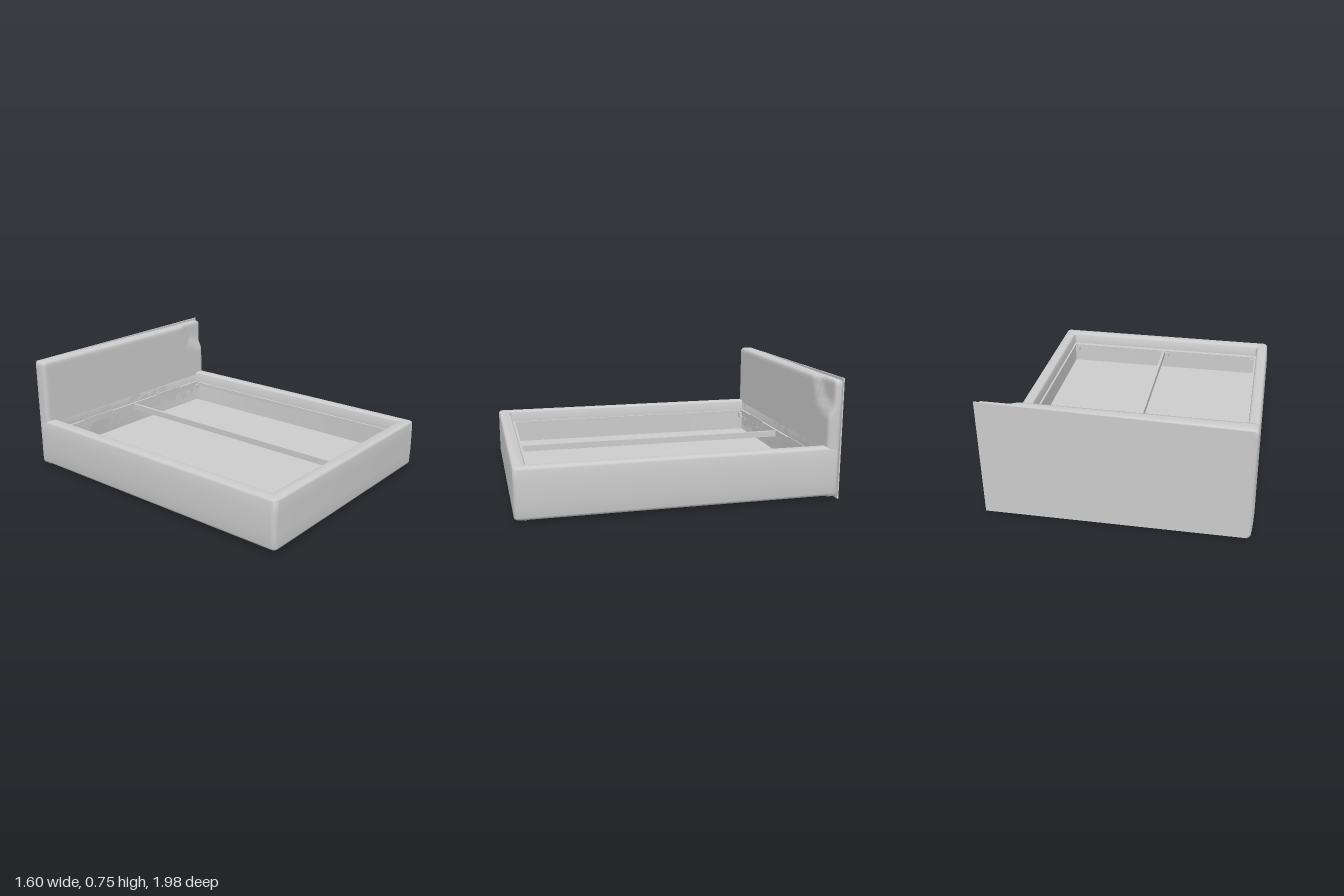
import * as THREE from 'three';
import { mergeVertices, toCreasedNormals } from 'three/addons/utils/BufferGeometryUtils.js';

const material = new THREE.MeshStandardMaterial({ color: 0xcccccc });

function part(group, name, geometry) {
  const mesh = new THREE.Mesh(geometry, material);
  mesh.name = name;
  group.add(mesh);
  return mesh;
}

// box given by its lower and upper corners
function box(group, name, [x0, y0, z0], [x1, y1, z1]) {
  const mesh = part(group, name, new THREE.BoxGeometry(x1 - x0, y1 - y0, z1 - z0));
  mesh.position.set((x0 + x1) / 2, (y0 + y1) / 2, (z0 + z1) / 2);
  return mesh;
}

// rounded rectangle in plan (x, -z)
function roundedRect(path, x, back, front, r) {
  const top = -back, bottom = -front;
  path.moveTo(-x + r, bottom);
  path.lineTo(x - r, bottom);
  path.absarc(x - r, bottom + r, r, -Math.PI / 2, 0);
  path.lineTo(x, top - r);
  path.absarc(x - r, top - r, r, 0, Math.PI / 2);
  path.lineTo(-x + r, top);
  path.absarc(-x + r, top - r, r, Math.PI / 2, Math.PI);
  path.lineTo(-x, bottom + r);
  path.absarc(-x + r, bottom + r, r, Math.PI, Math.PI * 1.5);
  return path;
}

// padded rails: one bevelled ring with softly bowed outer sides
function frameGeometry() {
  const shape = roundedRect(new THREE.Shape(), 0.79, -0.975, 0.99, 0.03);
  shape.holes.push(roundedRect(new THREE.Path(), 0.715, -0.895, 0.91, 0.012));
  const b = 0.018;
  const g = new THREE.ExtrudeGeometry(shape, {
    depth: 0.31 - 2 * b, steps: 4, curveSegments: 4,
    bevelSize: b, bevelThickness: b, bevelOffset: -b, bevelSegments: 4,
  });
  g.rotateX(-Math.PI / 2).translate(0, 0.018 + b, 0);
  const p = g.attributes.position;
  for (let i = 0; i < p.count; i++) {
    const x = p.getX(i), bow = Math.sin(Math.PI * (p.getY(i) - 0.018) / 0.31);
    if (Math.abs(x) > 0.74) p.setX(i, x + Math.sign(x) * 0.008 * bow);
  }
  g.deleteAttribute('uv');
  g.deleteAttribute('normal');
  return toCreasedNormals(mergeVertices(g, 1e-4), 0.7);
}

// padded headboard: rounded block, tapering in depth, creased at one top corner
function headboardGeometry() {
  const half = new THREE.Vector3(0.79, 0.364, 0.0475), r = 0.025;
  const g = new THREE.BoxGeometry(2, 2, 2, 48, 28, 8);
  const p = g.attributes.position, v = new THREE.Vector3(), core = new THREE.Vector3();
  const limit = half.clone().subScalar(r);
  for (let i = 0; i < p.count; i++) {
    v.fromBufferAttribute(p, i);
    v.set(...v.toArray().map((t) => Math.sin(t * Math.PI / 2))).multiply(half);
    core.copy(v).clamp(limit.clone().negate(), limit);
    v.sub(core).setLength(r).add(core);
    v.y += 0.374;
    const front = (v.z + half.z) / (2 * half.z);
    const dent = Math.min(v.x - 0.55 - (0.74 - v.y) * 0.44, v.y - 0.52 - (0.79 - v.x) * 0.35);
    v.z -= front * Math.min(0.03, Math.max(0, dent) * 0.6);
    v.z += (1 - front) * 0.008 * (v.x + 0.79);
    p.setXYZ(i, v.x, v.y, v.z - 0.9425);
  }
  g.deleteAttribute('uv');
  g.deleteAttribute('normal');
  return toCreasedNormals(mergeVertices(g, 1e-4), 0.8);
}

// thin flat sheet on the back of the headboard
function backSheetGeometry() {
  const shape = new THREE.Shape([
    [-0.77, 0.02], [0.797, 0.0], [0.797, 0.752], [-0.77, 0.73],
  ].map(([x, y]) => new THREE.Vector2(x, y)));
  const g = new THREE.ExtrudeGeometry(shape, { depth: 0.008, bevelEnabled: false });
  const p = g.attributes.position;
  for (let i = 0; i < p.count; i++) p.setZ(i, p.getZ(i) - 0.985 + 0.008 * p.getX(i));
  g.computeVertexNormals();
  return g;
}

export function createModel() {
  const bed = new THREE.Group();
  bed.name = 'bedFrame';
  part(bed, 'paddedRails', frameGeometry());
  part(bed, 'headboard', headboardGeometry());
  part(bed, 'headboardBackSheet', backSheetGeometry());

  // storage floor
  box(bed, 'floorPanel', [-0.72, 0.085, -0.9], [0.72, 0.1, 0.915]);

  // slat supports around the inside and down the middle
  box(bed, 'centreBeam', [-0.009, 0.21, -0.885], [0.009, 0.25, 0.9]);
  for (const s of [-1, 1]) {
    const side = s > 0 ? 'left' : 'right';
    const [x0, x1] = [0.702 * s, 0.72 * s].sort((a, b) => a - b);
    box(bed, side + 'Ledge', [x0, 0.225, -0.89], [x1, 0.25, 0.905]);
    // corner brackets and front feet
    for (const z of [-0.875, 0.885]) {
      box(bed, side + 'CornerBracket', [s * 0.69 - 0.016, 0.2, z - 0.016], [s * 0.69 + 0.016, 0.235, z + 0.016]);
    }
    const foot = part(bed, side + 'Foot', new THREE.CylinderGeometry(0.01, 0.008, 0.018, 12));
    foot.position.set(s * 0.735, 0.012, 0.925);
    // mounting plates on the head crossbar
    box(bed, side + 'MountingPlate', [s * 0.36 - 0.13, 0.225, -0.882], [s * 0.36 + 0.13, 0.265, -0.876]);
  }
  box(bed, 'headCrossbar', [-0.715, 0.215, -0.9], [0.715, 0.255, -0.88]);
  box(bed, 'footCrossbar', [-0.715, 0.225, 0.88], [0.715, 0.25, 0.915]);
  box(bed, 'centreBracket', [-0.035, 0.2, 0.875], [0.035, 0.24, 0.89]);
  return bed;
}
